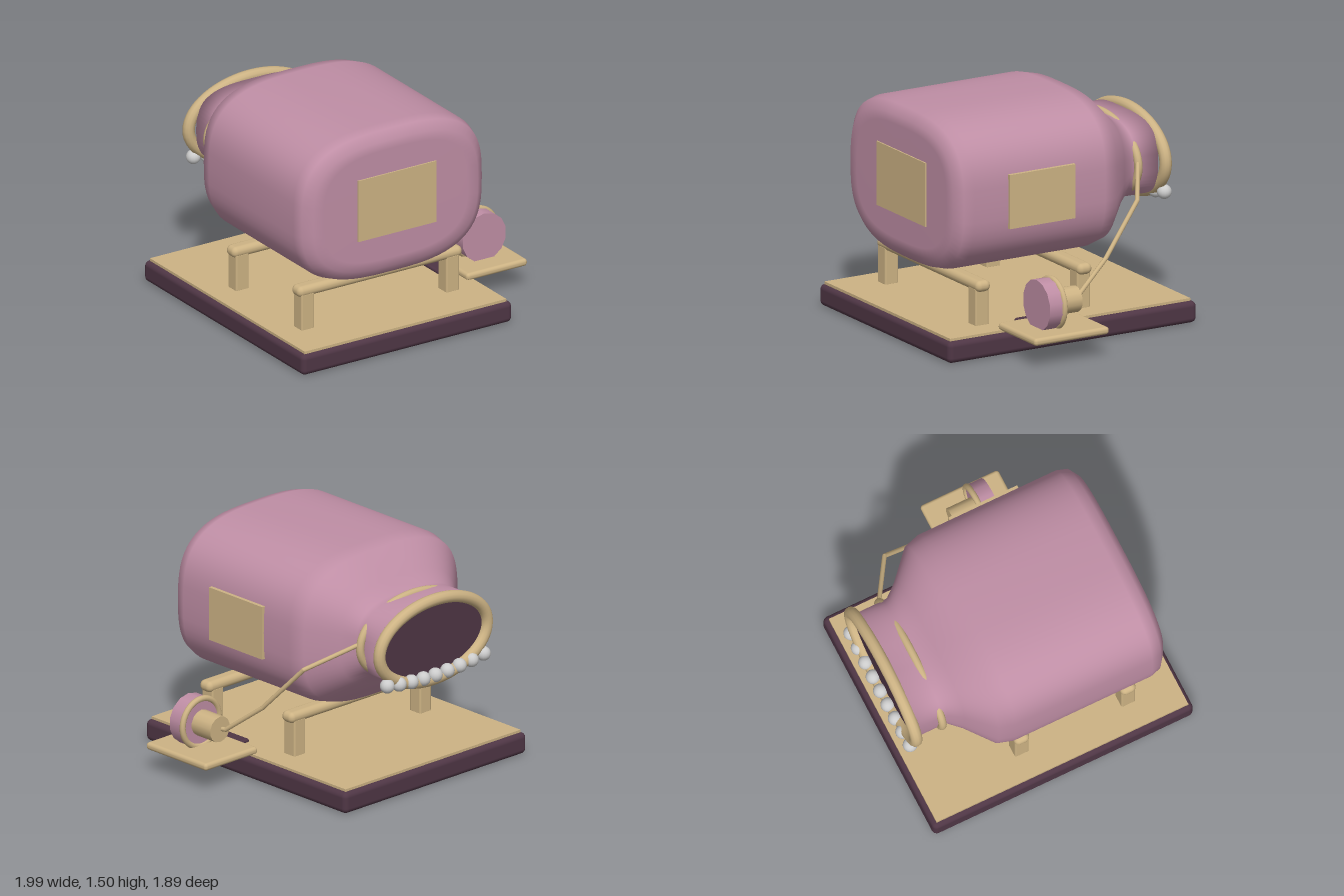
import * as THREE from 'three';
import { RoundedBoxGeometry } from 'three/addons/geometries/RoundedBoxGeometry.js';

const mat = (color) => new THREE.MeshStandardMaterial({ color });
const CX = -0.2, CY = 0.985; // axis of the lying jar

// Closed loft along z through superellipse sections [z, halfWidth, halfHeight]
function loft(sections, power = 3, sides = 64) {
  const pos = [], index = [];
  const bend = (v) => Math.sign(v) * Math.abs(v) ** (2 / power);
  sections.forEach(([z, hx, hy], i) => {
    for (let j = 0; j < sides; j++) {
      const t = (j / sides) * Math.PI * 2;
      pos.push(hx * bend(Math.cos(t)), hy * bend(Math.sin(t)), z);
      if (i === sections.length - 1) continue;
      const a = i * sides + j, b = i * sides + ((j + 1) % sides);
      index.push(a, a + sides, b, b, a + sides, b + sides);
    }
  });
  const g = new THREE.BufferGeometry();
  g.setAttribute('position', new THREE.Float32BufferAttribute(pos, 3));
  g.setIndex(index);
  g.computeVertexNormals();
  return g;
}

// Elliptical ring of round section, lying in the xy plane
function ellipseRing(rx, ry, tube) {
  const pts = [];
  for (let i = 0; i < 32; i++) {
    const t = (i / 32) * Math.PI * 2;
    pts.push(new THREE.Vector3(rx * Math.cos(t), ry * Math.sin(t), 0));
  }
  return new THREE.TubeGeometry(new THREE.CatmullRomCurve3(pts, true), 80, tube, 12, true);
}

export function createModel() {
  const model = new THREE.Group();
  model.name = 'jarOnStand';
  const pink = mat(0xbf8ea5), tan = mat(0xcdb384), plum = mat(0x4f3645), grey = mat(0xcccccc);

  function add(name, geometry, material, x, y, z) {
    const m = new THREE.Mesh(geometry, material);
    m.name = name;
    m.position.set(x, y, z);
    model.add(m);
    return m;
  }
  const block = (name, material, w, h, d, r, x, y, z) =>
    add(name, new RoundedBoxGeometry(w, h, d, 3, r), material, x, y, z);

  // Base slab and floor sheet
  block('base', plum, 1.61, 0.143, 1.86, 0.035, -0.195, 0.0715, 0.012);
  add('floorSheet', new THREE.BoxGeometry(1.545, 0.03, 1.8), tan, -0.197, 0.145, 0.015);

  // Two cradle rails on legs
  for (const z of [0.573, -0.188]) {
    block('cradleRail', tan, 1.26, 0.075, 0.107, 0.036, -0.19, 0.42, z);
    for (const x of [-0.75, 0.36]) block('cradleLeg', tan, 0.1, 0.26, 0.1, 0.012, x, 0.28, z);
  }

  // Jar body with shoulder and neck, closed at both ends
  add('jarBody', loft([
    [0.807, 0, 0], [0.807, 0.55, 0.38], [0.805, 0.63, 0.44], [0.76, 0.69, 0.5],
    [0.69, 0.71, 0.518], [-0.29, 0.71, 0.518], [-0.395, 0.68, 0.495],
    [-0.555, 0.51, 0.342], [-0.64, 0.442, 0.27], [-0.68, 0.438, 0.267],
    [-0.85, 0.438, 0.267], [-0.85, 0, 0],
  ]), pink, CX, CY, 0);

  // Mouth, rim and neck ring
  const mouth = add('mouth', new THREE.CircleGeometry(1, 48), plum, CX, CY, -0.873);
  mouth.scale.set(0.47, 0.268, 1);
  mouth.rotation.y = Math.PI;
  add('rim', ellipseRing(0.475, 0.27, 0.04), tan, CX, 0.982, -0.883);
  add('neckRing', ellipseRing(0.46, 0.263, 0.027), tan, CX, 0.982, -0.688);

  // Beads sagging across the lower lip
  for (let i = 0; i < 9; i++) {
    const u = i / 4 - 1;
    add('bead', new THREE.SphereGeometry(0.048, 16, 12), grey, CX + u * 0.425, 0.745 + 0.035 * u * u, -0.903);
  }

  // Label plates on the front and the left flank
  add('frontLabel', new THREE.BoxGeometry(0.6, 0.425, 0.02), tan, -0.193, 0.987, 0.807);
  add('sideLabel', new THREE.BoxGeometry(0.025, 0.36, 0.493), tan, 0.512, 0.985, 0.19);

  // Side shelf on its bracket
  block('shelfBracket', plum, 0.275, 0.085, 0.193, 0.015, 0.567, 0.138, 0.254);
  block('shelf', tan, 0.465, 0.05, 0.56, 0.022, 0.762, 0.176, 0.253);

  // Drum with flange ring and hub, axis along z
  const drum = (name, r, len, material, z) =>
    add(name, new THREE.CylinderGeometry(r, r, len, 14), material, 0.76, 0.35, z).rotateX(Math.PI / 2);
  drum('drum', 0.168, 0.12, pink, 0.32);
  drum('hub', 0.087, 0.18, tan, 0.177);
  add('drumFlange', new THREE.TorusGeometry(0.16, 0.02, 10, 32), tan, 0.76, 0.35, 0.266);

  // Bent pipe from the neck ring to the hub
  const path = [[0.25, 1.02, -0.69], [0.57, 0.868, -0.49], [0.66, 0.55, -0.2], [0.735, 0.35, 0.06], [0.745, 0.345, 0.12]]
    .map((p) => new THREE.Vector3(...p));
  for (let i = 0; i < path.length - 1; i++) {
    const dir = path[i + 1].clone().sub(path[i]);
    const mid = path[i].clone().addScaledVector(dir, 0.5);
    const seg = add('pipe', new THREE.CylinderGeometry(0.015, 0.015, dir.length(), 10), tan, mid.x, mid.y, mid.z);
    seg.quaternion.setFromUnitVectors(new THREE.Vector3(0, 1, 0), dir.normalize());
    if (i > 0) add('pipeJoint', new THREE.SphereGeometry(0.015, 10, 8), tan, path[i].x, path[i].y, path[i].z);
  }

  return model;
}
